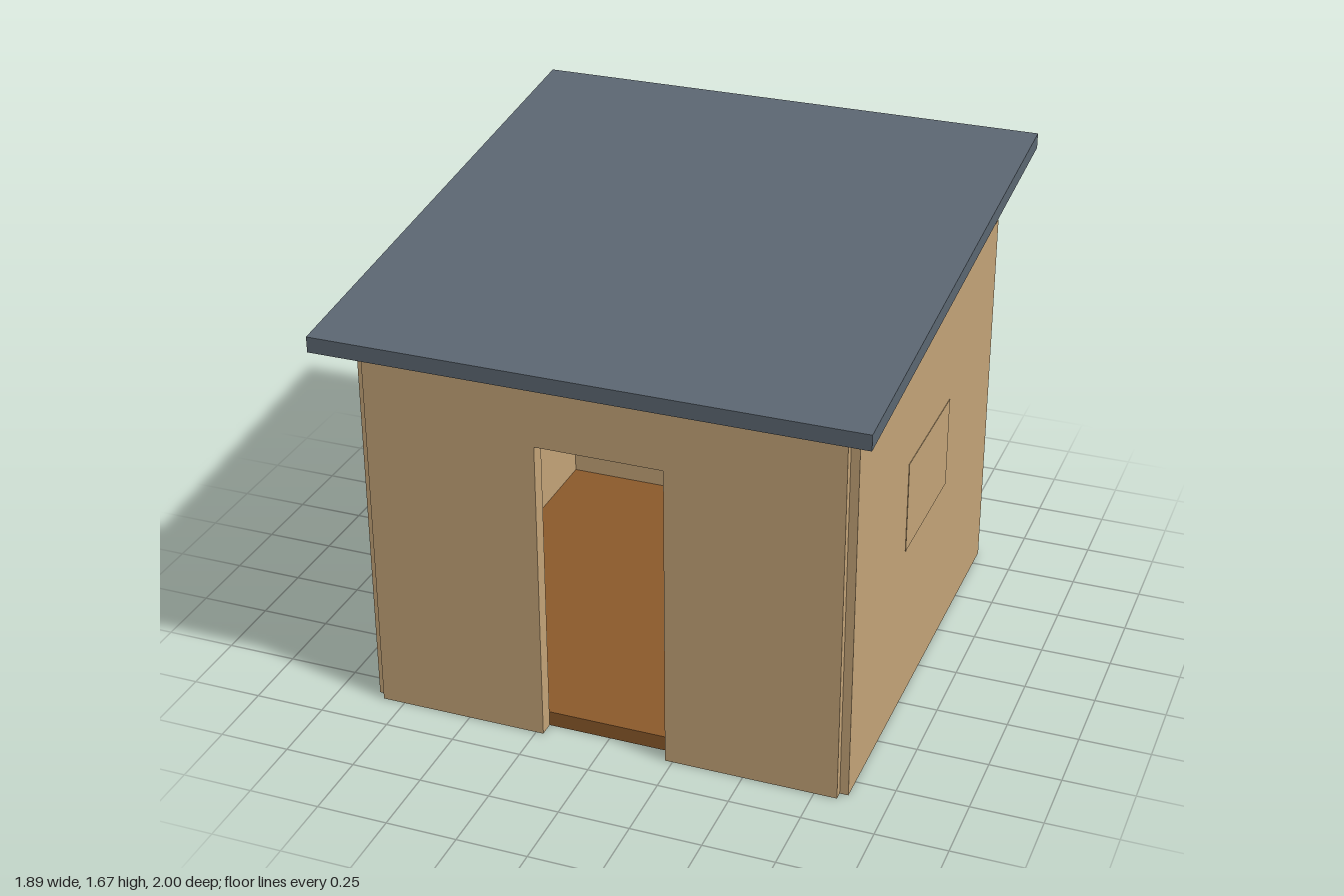
import * as THREE from 'three';

export function createModel() {
  const group = new THREE.Group();
  const material = (name, color) => {
    const m = new THREE.MeshStandardMaterial({ color });
    m.name = name;
    return m;
  };
  const wood = material('tan wall boards', 0xc4a478);
  const floorWood = material('brown floor', 0x8b5a2b);
  const roofing = material('slate roof', 0x5c6772);

  const add = (name, geometry, mat, x = 0, y = 0, z = 0) => {
    const mesh = new THREE.Mesh(geometry, mat);
    mesh.name = name;
    mesh.position.set(x, y, z);
    group.add(mesh);
    return mesh;
  };

  const outer = 0.86, half = 0.83, thick = 0.055, wallTop = 1.39;
  const mid = outer - thick / 2;
  const doorHalf = 0.223, doorTop = 1.115;

  // Floor slab, fitted between the walls
  const inner = 2 * (outer - thick);
  add('floor', new THREE.BoxGeometry(inner, 0.055, inner), floorWood, 0, 0.0275, 0);

  // Front wall with an open doorway
  const front = new THREE.Shape([
    [-half, 0], [-doorHalf, 0], [-doorHalf, doorTop], [doorHalf, doorTop],
    [doorHalf, 0], [half, 0], [half, wallTop], [-half, wallTop],
  ].map(([x, y]) => new THREE.Vector2(x, y)));
  add('frontWall', new THREE.ExtrudeGeometry(front, { depth: thick, bevelEnabled: false }),
    wood, 0, 0, outer - thick);

  // Back and side walls, leaving a small notch at each outer corner
  add('backWall', new THREE.BoxGeometry(2 * half, wallTop, thick), wood, 0, wallTop / 2, -mid);
  for (const [name, side] of [['leftWall', 1], ['rightWall', -1]]) {
    add(name, new THREE.BoxGeometry(thick, wallTop, 2 * half), wood, side * mid, wallTop / 2, 0);
  }

  // Closed window shutter, almost flush with the wall
  add('windowShutter', new THREE.BoxGeometry(0.004, 0.335, 0.5), wood, outer, 0.78, 0);

  // Single-pitch roof, rising towards the back (profile drawn in z and y)
  const roof = new THREE.Shape([
    [-1, 1.395], [1, 1.615], [1, 1.67], [-1, 1.45],
  ].map(([x, y]) => new THREE.Vector2(x, y)));
  const roofGeometry = new THREE.ExtrudeGeometry(roof, { depth: 1.89, bevelEnabled: false });
  roofGeometry.translate(0, 0, -0.945).rotateY(Math.PI / 2);
  add('roof', roofGeometry, roofing);

  return group;
}
